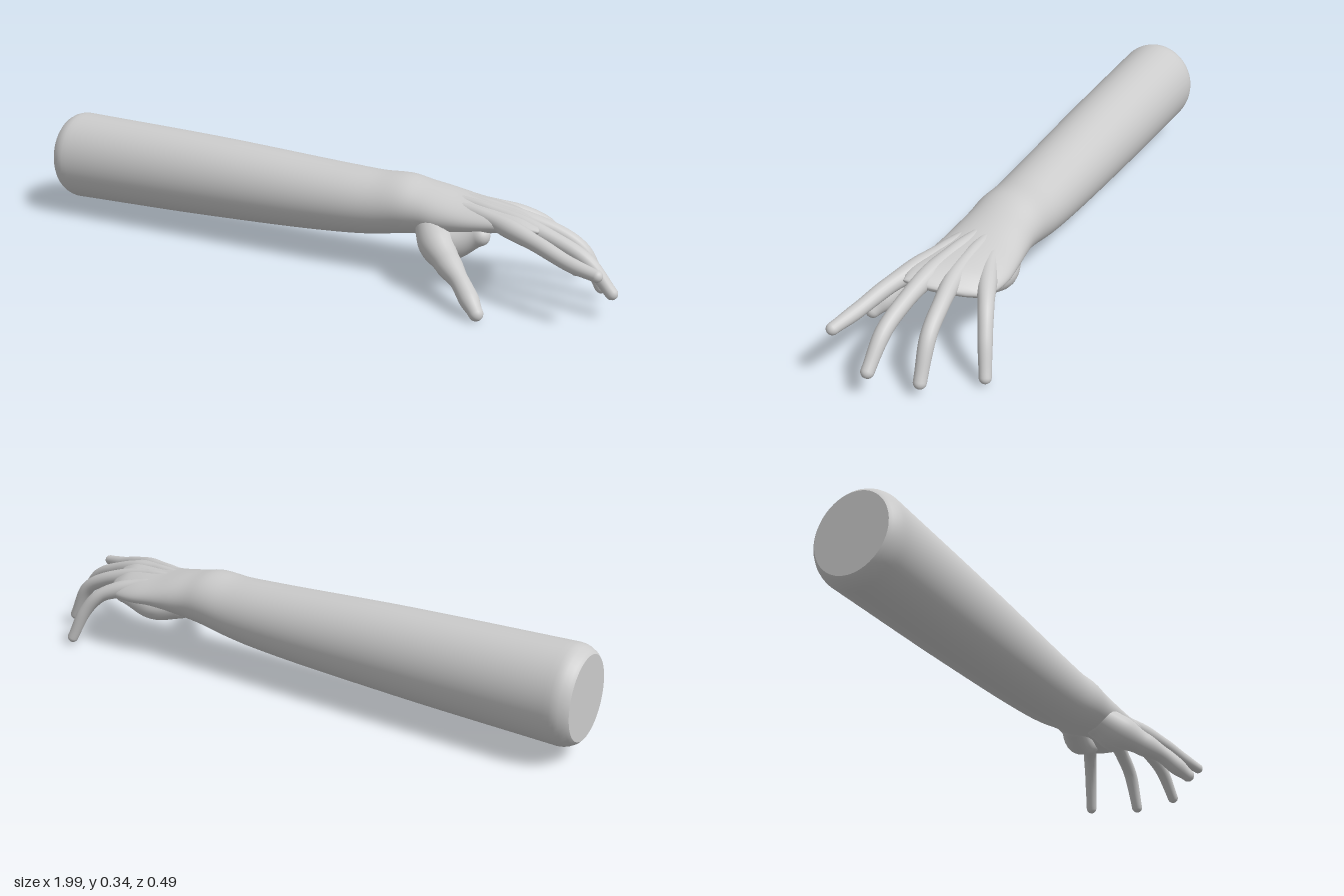
import * as THREE from 'three';

const V = (p) => new THREE.Vector3(p[0], p[1], p[2]);
const material = new THREE.MeshStandardMaterial({ color: 0xcccccc });

// Joins closed rings of points into one smooth skin.
function skin(rings, name) {
  const n = rings[0].length, pos = [], index = [];
  rings.forEach((ring) => ring.forEach((p) => pos.push(p.x, p.y, p.z)));
  for (let i = 0; i < rings.length - 1; i++) {
    for (let j = 0; j < n; j++) {
      const k = (j + 1) % n;
      const a = i * n + j, b = i * n + k, c = a + n, d = b + n;
      index.push(a, b, c, b, d, c);
    }
  }
  const geo = new THREE.BufferGeometry();
  geo.setAttribute('position', new THREE.Float32BufferAttribute(pos, 3));
  geo.setIndex(index);
  geo.computeVertexNormals();
  const mesh = new THREE.Mesh(geo, material);
  mesh.name = name;
  return mesh;
}

// Smooth tapered limb through [x, y, z, radius] points, with round ends.
function limb(name, points, sides = 20, steps = 40) {
  const curve = new THREE.CatmullRomCurve3(points.map(V));
  const frames = curve.computeFrenetFrames(steps);
  const last = points.length - 1;
  const rings = [];
  const addRing = (i, r, push) => {
    const c = curve.getPointAt(i / steps).addScaledVector(frames.tangents[i], push);
    const ring = [];
    for (let j = 0; j < sides; j++) {
      const a = (j / sides) * Math.PI * 2;
      ring.push(c.clone()
        .addScaledVector(frames.normals[i], r * Math.cos(a))
        .addScaledVector(frames.binormals[i], r * Math.sin(a)));
    }
    rings.push(ring);
  };
  const r0 = points[0][3], r1 = points[last][3];
  for (let k = 0; k < 6; k++) {
    const a = (k / 6) * Math.PI / 2;
    addRing(0, r0 * Math.sin(a), -r0 * Math.cos(a));
  }
  for (let i = 0; i <= steps; i++) {
    const t = curve.getUtoTmapping(i / steps) * last;
    const k = Math.min(Math.floor(t), last - 1);
    const f = THREE.MathUtils.smoothstep(t - k, 0, 1);
    addRing(i, THREE.MathUtils.lerp(points[k][3], points[k + 1][3], f), 0);
  }
  for (let k = 1; k <= 6; k++) {
    const a = (k / 6) * Math.PI / 2;
    addRing(steps, r1 * Math.cos(a), r1 * Math.sin(a));
  }
  return skin(rings, name);
}

// Forearm, wrist and palm: x, centre y, centre z, half height, half width, tilt, hollow, shear
function forearmAndPalm() {
  const stations = [
    [-0.95, 0.2, -0.06, 0.15, 0.14, 0, 0, 0],
    [-0.4, 0.202, -0.06, 0.135, 0.13, 0, 0, 0],
    [0.1, 0.206, -0.06, 0.109, 0.118, 0, 0, 0],
    [0.2, 0.211, -0.06, 0.101, 0.115, 0, 0, 0],
    [0.3, 0.223, -0.06, 0.093, 0.113, 0, 0, 0],
    [0.36, 0.222, -0.06, 0.082, 0.112, 0, 0, 0],
    [0.42, 0.218, -0.061, 0.075, 0.118, 0, 0.01, 0],
    [0.5, 0.217, -0.065, 0.06, 0.123, 0.005, 0.015, 0.01],
    [0.6, 0.219, -0.07, 0.046, 0.124, 0.015, 0.015, 0.025],
    [0.67, 0.22, -0.067, 0.033, 0.117, 0.02, 0.01, 0.035],
    [0.71, 0.217, -0.064, 0.018, 0.104, 0.02, 0, 0.04],
  ];
  const spline = new THREE.CubicInterpolant(
    stations.map((s) => s[0]), stations.flatMap((s) => s.slice(1)), 7);
  const sides = 56, rings = [];
  const addRing = (x, scale = 1, dx = 0) => {
    const [yc, zc, ry, rz, tilt, hollow, shear] = spline.evaluate(x);
    const ring = [];
    for (let j = 0; j < sides; j++) {
      const a = (j / sides) * Math.PI * 2, c = Math.cos(a), s = Math.sin(a);
      ring.push(new THREE.Vector3(
        x + dx + shear * s * scale,
        yc + scale * (ry * c + tilt * s + (c < 0 ? hollow * c * c : 0)),
        zc + scale * rz * s));
    }
    rings.push(ring);
  };
  // Flat cut end with a bevelled rim
  addRing(-0.95, 0, -0.05);
  addRing(-0.95, 0.84, -0.05);
  addRing(-0.95, 0.84, -0.05);
  addRing(-0.95, 0.9, -0.042);
  addRing(-0.95, 0.965, -0.025);
  addRing(-0.95, 0.99, -0.012);
  for (let i = 0; i <= 90; i++) addRing(-0.95 + (1.66 * i) / 90);
  addRing(0.71, 0.6, 0.012);
  addRing(0.71, 0, 0.016);
  return skin(rings, 'forearmAndPalm');
}

export function createModel() {
  const group = new THREE.Group();
  group.name = 'arm';
  group.add(forearmAndPalm());

  // Fingers, each starting as a low tendon ridge on the back of the hand
  const fingers = {
    indexFinger: [[0.46, 0.255, -0.02, 0.02], [0.58, 0.246, 0.014, 0.024], [0.67, 0.233, 0.045, 0.029],
      [0.77, 0.214, 0.083, 0.024], [0.87, 0.188, 0.116, 0.022], [0.955, 0.176, 0.139, 0.018]],
    middleFinger: [[0.46, 0.262, -0.05, 0.02], [0.58, 0.252, -0.025, 0.024], [0.69, 0.234, -0.006, 0.029],
      [0.8, 0.206, 0.008, 0.024], [0.895, 0.165, 0.019, 0.023], [0.974, 0.084, 0.026, 0.019]],
    ringFinger: [[0.46, 0.26, -0.08, 0.02], [0.57, 0.249, -0.074, 0.023], [0.67, 0.228, -0.073, 0.028],
      [0.77, 0.201, -0.085, 0.024], [0.85, 0.155, -0.091, 0.023], [0.912, 0.046, -0.095, 0.019]],
    littleFinger: [[0.46, 0.246, -0.11, 0.02], [0.55, 0.235, -0.127, 0.024], [0.63, 0.214, -0.155, 0.028],
      [0.7, 0.185, -0.186, 0.023], [0.752, 0.125, -0.209, 0.021], [0.797, 0.028, -0.23, 0.018]],
  };
  for (const name in fingers) group.add(limb(name, fingers[name]));

  // Thumb with its fleshy root
  group.add(limb('thumb', [[0.4, 0.19, 0.0, 0.052], [0.44, 0.152, 0.052, 0.056], [0.5, 0.118, 0.108, 0.041],
    [0.56, 0.088, 0.158, 0.029], [0.6, 0.056, 0.19, 0.03], [0.635, 0.027, 0.219, 0.022]]));

  // Palm pads below the thumb and along the outer edge
  group.add(limb('thumbPad', [[0.4, 0.18, -0.02, 0.045], [0.47, 0.148, 0.02, 0.05], [0.57, 0.19, 0.03, 0.03]]));
  group.add(limb('outerPad', [[0.41, 0.19, -0.11, 0.045], [0.5, 0.178, -0.135, 0.048], [0.62, 0.202, -0.15, 0.033]]));

  return group;
}
